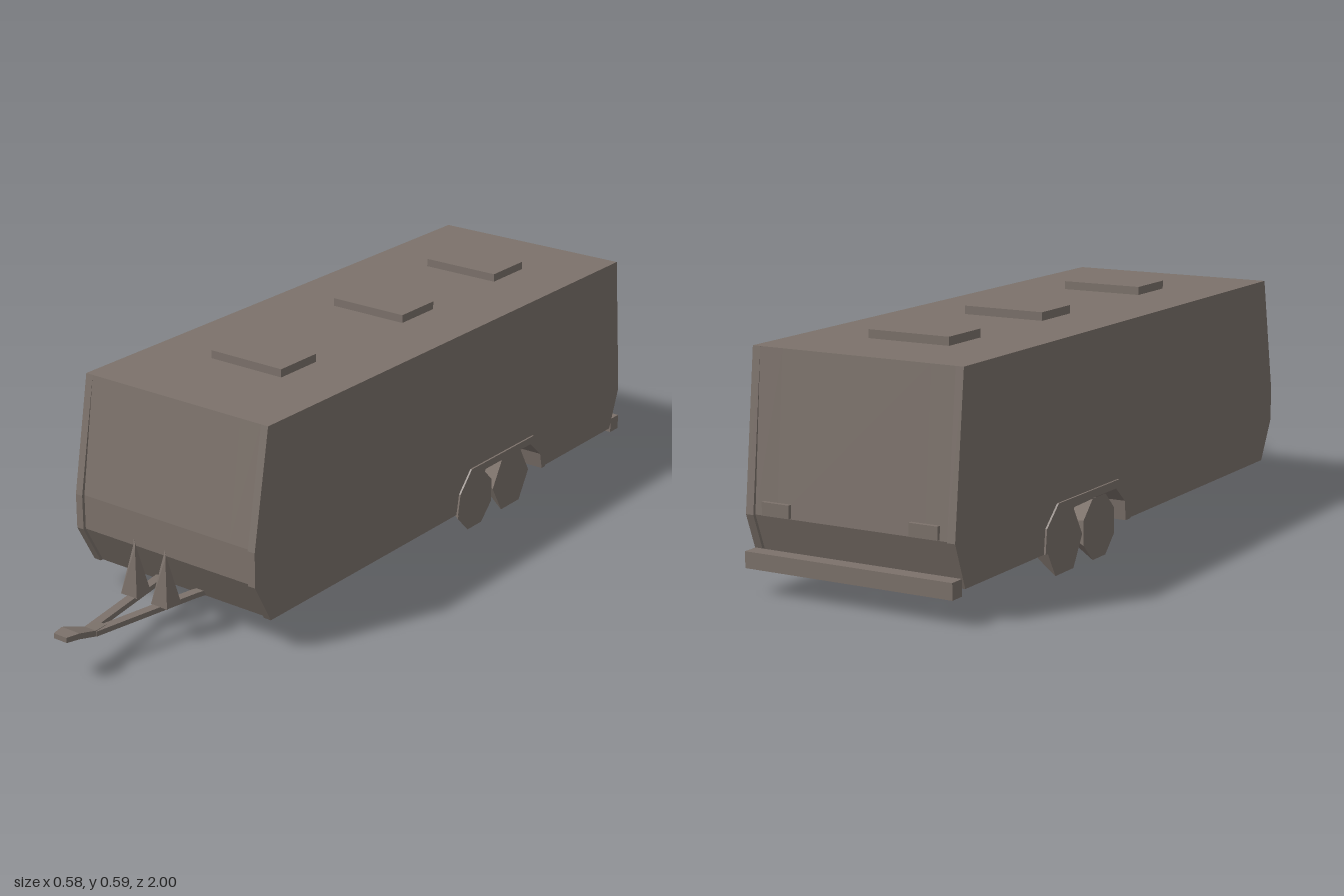
import * as THREE from 'three';

const paint = new THREE.MeshStandardMaterial({ color: 0x7c726b, flatShading: true, side: THREE.DoubleSide });
paint.name = 'taupe';

export function createModel() {
  const model = new THREE.Group();
  model.name = 'caravan';

  const add = (name, geometry, x = 0, y = 0, z = 0) => {
    const mesh = new THREE.Mesh(geometry, paint);
    mesh.name = name;
    mesh.position.set(x, y, z);
    model.add(mesh);
    return mesh;
  };
  const box = (name, w, h, d, x, y, z) => add(name, new THREE.BoxGeometry(w, h, d), x, y, z);

  // Extrudes a side outline of [z, y] points between x0 and x1
  const slab = (name, points, x0, x1) => {
    const shape = new THREE.Shape(points.map(([z, y]) => new THREE.Vector2(z, y)));
    const g = new THREE.ExtrudeGeometry(shape, { depth: x1 - x0, bevelEnabled: false });
    g.rotateY(-Math.PI / 2).translate(x1, 0, 0);
    return add(name, g);
  };

  // Sweeps a rectangle through sections of [x, z, half width, bottom, top]
  const beam = (name, sections, side = 1) => {
    const pos = [], idx = [];
    sections.forEach(([x, z, w, b, t]) => {
      const c = x * side;
      pos.push(c - w, b, z, c + w, b, z, c + w, t, z, c - w, t, z);
    });
    for (let i = 0; i < sections.length - 1; i++) {
      for (let j = 0; j < 4; j++) {
        const a = i * 4 + j, b = i * 4 + (j + 1) % 4;
        idx.push(a, a + 4, b, b, a + 4, b + 4);
      }
    }
    const n = (sections.length - 1) * 4;
    idx.push(0, 1, 2, 0, 2, 3, n, n + 2, n + 1, n, n + 3, n + 2);
    const g = new THREE.BufferGeometry();
    g.setAttribute('position', new THREE.Float32BufferAttribute(pos, 3));
    g.setIndex(idx);
    g.computeVertexNormals();
    return add(name, g);
  };

  // Body outline; inset recesses the end panels between the side edges
  const notch = [[-0.59, 0.09], [-0.58, 0.135], [-0.53, 0.18], [-0.265, 0.18], [-0.22, 0.14], [-0.215, 0.09]];
  const outline = (inset, cut) => [
    [-0.95 + inset, 0.09], ...(cut ? notch : []), [0.58 - inset, 0.09],
    [0.637 - inset, 0.195], [0.637 - inset, 0.285], [0.583, 0.586],
    [-0.948, 0.586], [-0.99 + inset, 0.2],
  ];
  slab('bodyCore', outline(0.008, false), -0.2, 0.2);

  // Wheel arch trim, a band around the notch
  const archTrim = [[-0.607, 0.09], [-0.6, 0.15], [-0.545, 0.2], [-0.25, 0.2], [-0.2, 0.145], [-0.19, 0.09],
    ...notch.slice().reverse()];

  for (const s of [1, -1]) {
    const mirrored = (name, pts, a, b) => slab(name, pts, Math.min(a * s, b * s), Math.max(a * s, b * s));
    mirrored('bodyFlank', outline(0.008, true), 0.2, 0.262);
    mirrored('sideWall', outline(0, true), 0.262, 0.283);
    mirrored('wheelArchTrim', archTrim, 0.28, 0.288);

    // Tandem wheels, narrowing inwards
    for (const [z, sides, r, turn] of [[-0.305, 8, 0.083, Math.PI / 8], [-0.475, 6, 0.086, 0]]) {
      const wheel = new THREE.CylinderGeometry(r, 0.05, 0.058, sides);
      wheel.rotateY(turn).rotateZ(-s * Math.PI / 2);
      add('wheel', wheel, s * 0.234, 0.09, z);
    }

    // Chassis rail running into the drawbar
    beam('chassisRail', [
      [0.008, 0.9, 0.012, 0.094, 0.107], [0.06, 0.6, 0.012, 0.094, 0.107], [0.11, 0.36, 0.012, 0.088, 0.1],
      [0.185, -0.2, 0.014, 0.079, 0.1], [0.187, -0.4, 0.014, 0.066, 0.1],
      [0.187, -0.6, 0.014, 0.07, 0.1], [0.187, -0.95, 0.014, 0.087, 0.1],
    ], s);

    // Tail lamp
    box('tailLamp', 0.075, 0.032, 0.012, s * 0.2, 0.218, -0.984);

    // Drawbar post: square foot drawn up to a diagonal edge
    const post = new THREE.CylinderGeometry(0.026, 0.036, 0.13, 4);
    const p = post.attributes.position;
    for (let i = 0; i < p.count; i++) if (p.getY(i) > 0) p.setZ(i, p.getZ(i) * 0.06);
    post.rotateY(-Math.PI / 4);
    add('drawbarPost', post, s * 0.048, 0.171, 0.687);
  }

  // Coupling head
  beam('couplingHead', [
    [0, 0.86, 0.014, 0.093, 0.108], [0, 0.9, 0.018, 0.094, 0.109],
    [0, 0.965, 0.028, 0.116, 0.131], [0, 1.0, 0.02, 0.118, 0.131],
  ]);

  // Roof hatches and rear bumper
  for (const z of [0.25, -0.247, -0.667]) box('roofHatch', 0.22, 0.024, 0.137, 0, 0.595, z);
  box('rearBumper', 0.562, 0.04, 0.04, 0, 0.095, -0.98);

  return model;
}
